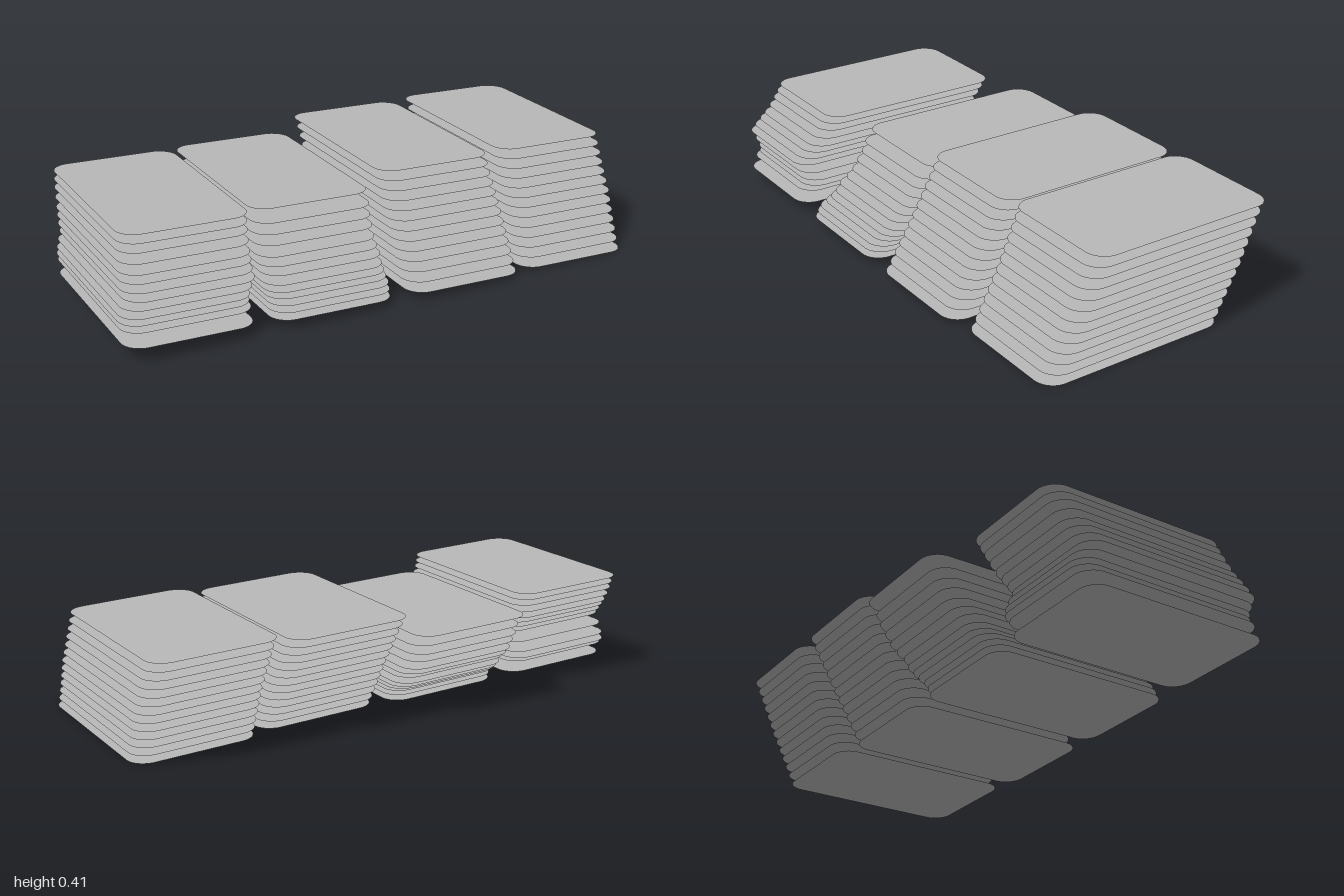
import * as THREE from 'three';

const W = 0.46, L = 0.735, R = 0.07; // card width, length, corner radius

// Rounded rectangle lying flat, facing up
function cardGeometry() {
  const s = new THREE.Shape(), x = W / 2, y = L / 2;
  s.moveTo(-x + R, -y);
  s.lineTo(x - R, -y);
  s.absarc(x - R, -y + R, R, -Math.PI / 2, 0, false);
  s.lineTo(x, y - R);
  s.absarc(x - R, y - R, R, 0, Math.PI / 2, false);
  s.lineTo(-x + R, y);
  s.absarc(-x + R, y - R, R, Math.PI / 2, Math.PI, false);
  s.lineTo(-x, -y + R);
  s.absarc(-x + R, -y + R, R, Math.PI, Math.PI * 1.5, false);
  return new THREE.ShapeGeometry(s, 8).rotateX(-Math.PI / 2);
}

const lerp = THREE.MathUtils.lerp;
const evenly = (a, b) => Array.from({ length: 13 }, (_, i) => lerp(a, b, i / 12));

// Each stack from top to bottom: x at top, middle and bottom, then heights and depths
const stacks = [
  {
    name: 'farRightStack', x: [-0.725, -0.757, -0.768],
    y: [0.388, 0.362, 0.336, 0.306, 0.277, 0.255, 0.232, 0.21, 0.172, 0.137, 0.113, 0.096, 0.05],
    z: [-0.025, -0.012, 0.002, 0.02, 0.04, 0.06, 0.08, 0.098, 0.08, 0.066, 0.064, 0.08, 0.096],
  },
  {
    name: 'innerRightStack', x: [-0.212, -0.23, -0.248],
    y: [0.34, 0.298, 0.262, 0.23, 0.196, 0.171, 0.15, 0.122, 0.104, 0.09, 0.075, 0.055, 0.032],
    z: [-0.13, -0.1, -0.085, -0.065, -0.045, -0.02, 0.008, 0.025, 0.045, 0.065, 0.088, 0.1, 0.108],
  },
  { name: 'innerLeftStack', x: [0.27, 0.274, 0.27], y: evenly(0.401, 0.024), z: evenly(-0.1, 0.124) },
  { name: 'farLeftStack', x: [0.762, 0.767, 0.755], y: evenly(0.403, 0.007), z: evenly(-0.083, 0.102) },
];

export function createModel() {
  const model = new THREE.Group();
  model.name = 'cardStacks';
  const grey = new THREE.MeshStandardMaterial({ color: 0xb8b8b8, side: THREE.DoubleSide });
  grey.name = 'cardGrey';
  const geometry = cardGeometry();

  for (const { name, x, y, z } of stacks) {
    const stack = new THREE.Group();
    stack.name = name;
    y.forEach((height, i) => {
      const card = new THREE.Mesh(geometry, grey);
      card.name = 'card';
      const cx = i < 6 ? lerp(x[0], x[1], i / 6) : lerp(x[1], x[2], (i - 6) / 6);
      card.position.set(cx, height, z[i]);
      card.rotation.set(0, -0.012, -0.026); // slight turn and sideways tilt
      stack.add(card);
    });
    model.add(stack);
  }
  return model;
}
